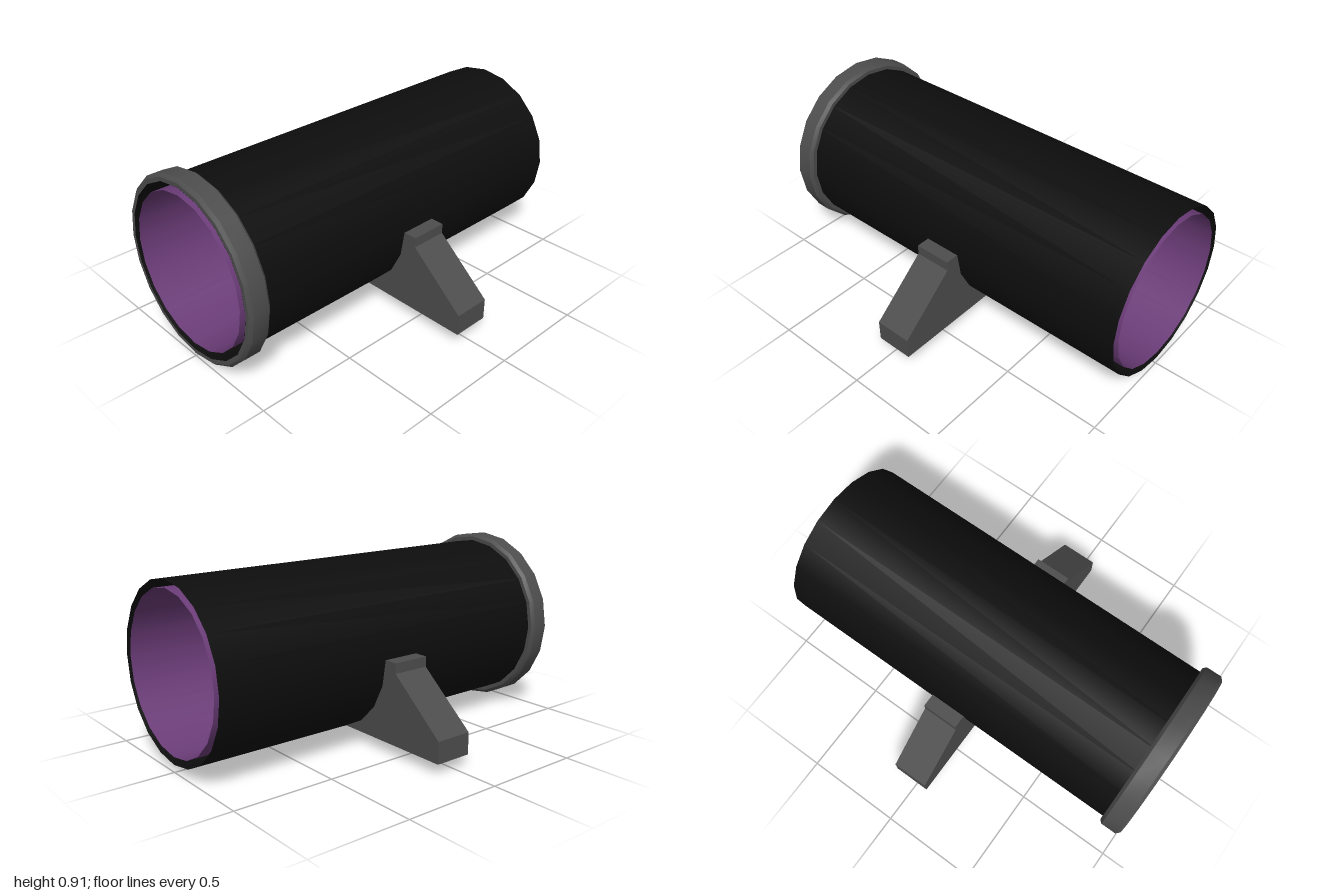
import * as THREE from 'three';
import { toCreasedNormals } from 'three/addons/utils/BufferGeometryUtils.js';

const SIDES = 20;
const AXIS_Y = 0.458;

export function createModel() {
  const group = new THREE.Group();
  const black = new THREE.MeshStandardMaterial({ color: 0x0d0d0d, side: THREE.DoubleSide });
  const purple = new THREE.MeshStandardMaterial({ color: 0x6b3c78, side: THREE.DoubleSide });
  const grey = new THREE.MeshStandardMaterial({ color: 0x4d4d4d });

  const add = (name, geometry, material, y = 0) => {
    const mesh = new THREE.Mesh(geometry, material);
    mesh.name = name;
    mesh.position.y = y;
    group.add(mesh);
  };

  // Two thin open sleeves, one inside the other, lying along z
  const sleeve = (radius) =>
    new THREE.CylinderGeometry(radius, radius, 2, SIDES, 1, true).rotateX(Math.PI / 2);
  add('outerTube', sleeve(0.421), black, AXIS_Y);
  add('innerLining', sleeve(0.383), purple, AXIS_Y);

  // Chamfered collar around the front end
  const profile = [
    [0.422, 0.89], [0.442, 0.89], [0.457, 0.905], [0.457, 0.985],
    [0.442, 1], [0.422, 1], [0.422, 0.89],
  ].map(([r, z]) => new THREE.Vector2(r, z));
  const collar = new THREE.LatheGeometry(profile, SIDES).rotateX(Math.PI / 2);
  add('frontCollar', toCreasedNormals(collar, 0.5), grey, AXIS_Y);

  // Sloped feet with a curved inner edge that cradles the tube
  const foot = [
    [0.38, 0.458], [0.364, 0.327], [0.302, 0.211], [0.182, 0.116], [0.037, 0.058],
    [0.775, 0.058], [0.775, 0.165], [0.49, 0.408], [0.49, 0.458],
  ];
  for (const [name, side] of [['leftFoot', 1], ['rightFoot', -1]]) {
    const shape = new THREE.Shape(foot.map(([x, y]) => new THREE.Vector2(side * x, y)));
    const geometry = new THREE.ExtrudeGeometry(shape, { depth: 0.19, bevelEnabled: false });
    add(name, geometry.translate(0, 0, -0.12), grey);
  }

  return group;
}
